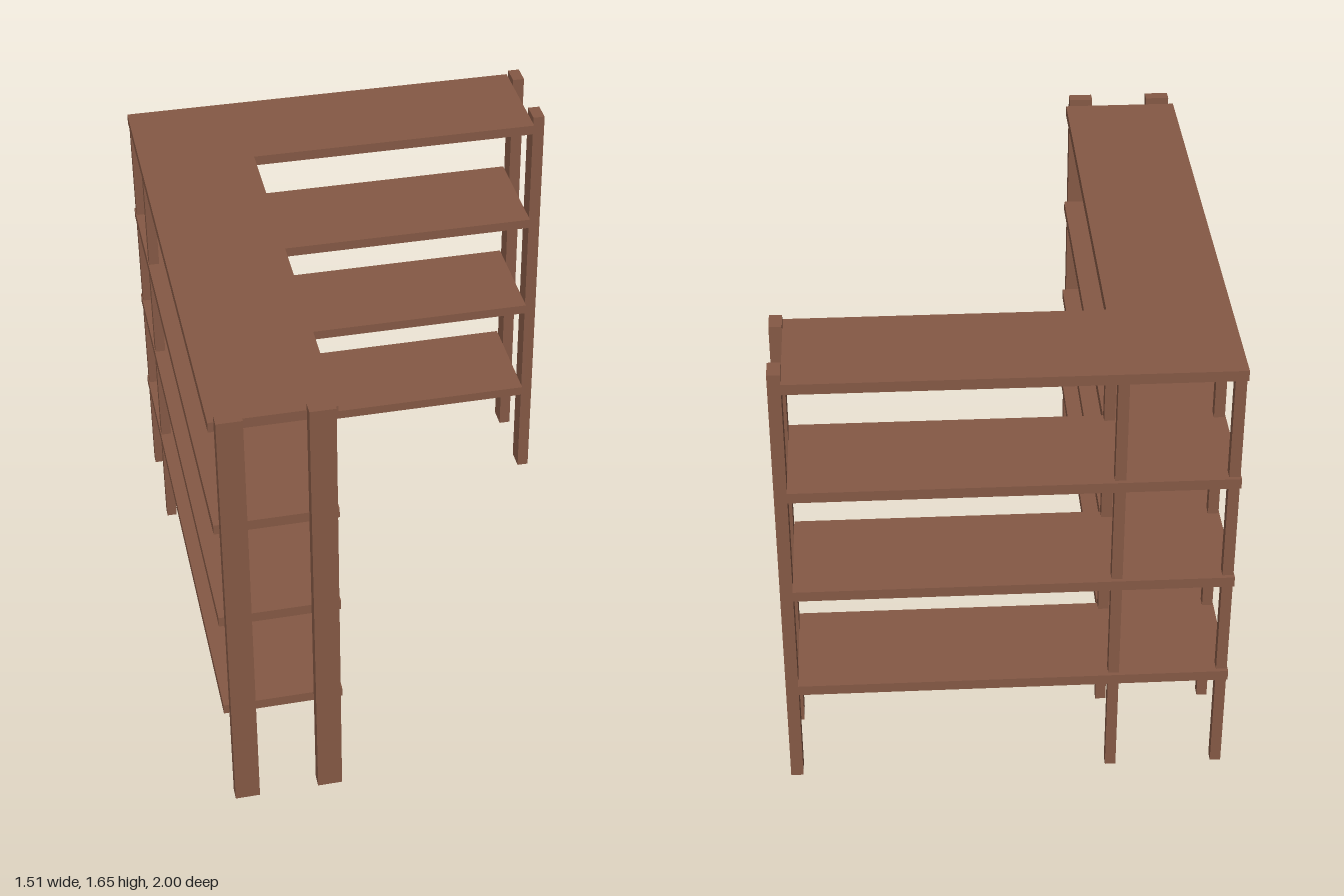
import * as THREE from 'three';

export function createModel() {
  const model = new THREE.Group();
  model.name = 'cornerShelf';
  const wood = new THREE.MeshStandardMaterial({ color: 0x855945 });
  wood.name = 'brown wood';

  const addPost = (name, x0, x1, z0, z1, height) => {
    const mesh = new THREE.Mesh(new THREE.BoxGeometry(x1 - x0, height, z1 - z0), wood);
    mesh.position.set((x0 + x1) / 2, height / 2, (z0 + z1) / 2);
    mesh.name = name;
    model.add(mesh);
  };

  // L-shaped boards, drawn in plan as (x, -z) and laid flat
  const plan = new THREE.Shape([
    [-0.76, 1], [-0.76, -0.955], [-0.347, -0.955],
    [-0.347, 0.595], [0.712, 0.595], [0.712, 1],
  ].map(([x, y]) => new THREE.Vector2(x, y)));
  const board = new THREE.ExtrudeGeometry(plan, { depth: 0.037, bevelEnabled: false });
  board.rotateX(-Math.PI / 2);
  [0.376, 0.777, 1.175, 1.588].forEach((y, i) => {
    const shelf = new THREE.Mesh(board, wood);
    shelf.position.y = y;
    shelf.name = `shelf${i + 1}`;
    model.add(shelf);
  });

  // Wide flat posts capping the two open ends
  for (const x of [-0.741, -0.447]) addPost('frontEndPost', x, x + 0.086, 0.955, 1, 1.65);
  for (const z of [-0.982, -0.687]) addPost('leftEndPost', 0.712, 0.755, z, z + 0.077, 1.65);

  // Slim square posts under the four corners of the bend
  for (const x of [-0.757, -0.385]) {
    for (const z of [-0.986, -0.63]) addPost('cornerPost', x, x + 0.037, z, z + 0.037, 1.6);
  }
  return model;
}
